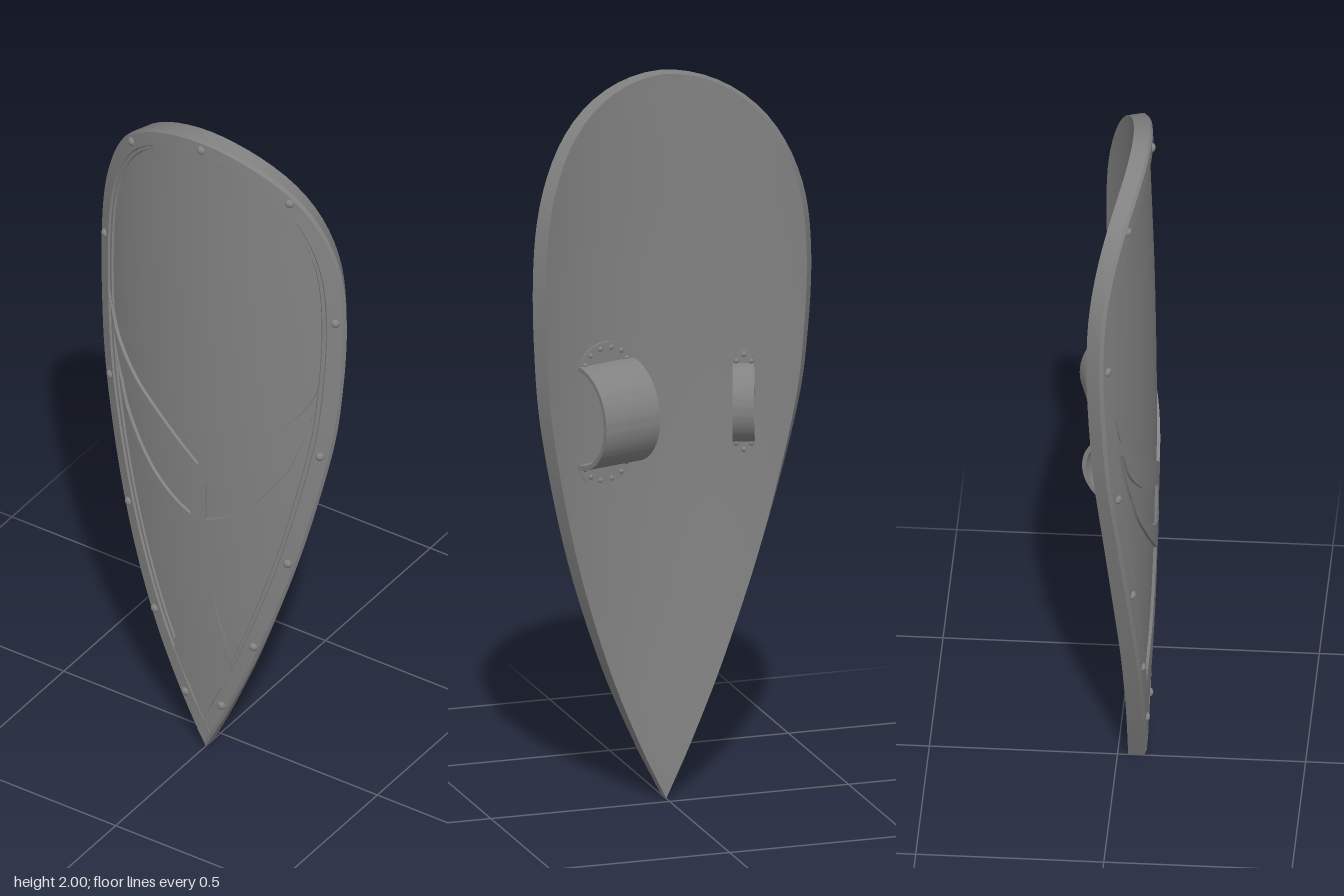
import * as THREE from 'three';
import { toCreasedNormals } from 'three/addons/utils/BufferGeometryUtils.js';

const material = new THREE.MeshStandardMaterial({ color: 0x828282, side: THREE.DoubleSide });
const V2 = (p) => new THREE.Vector2(p[0], p[1]);
const R = 0.69, THICK = 0.045;

// Front depth along the centre line, then the sideways bend of the shield
const depthCurve = new THREE.SplineCurve([[0, 0.073], [0.5, 0.096], [1, 0.107], [1.5, 0.102], [2, 0.087]].map(V2));
const tilt = (x) => Math.asin(x / R);
function onShield(x, y, w) {
  const a = tilt(x), zc = depthCurve.getPoint(THREE.MathUtils.clamp(y / 2, 0, 1)).y;
  return new THREE.Vector3(x + w * Math.sin(a), y, zc - R + (R + w) * Math.cos(a));
}

function mesh(name, geometry) {
  const m = new THREE.Mesh(geometry, material);
  m.name = name;
  return m;
}

// Skin over rows of points
function skin(rows) {
  const pos = [], index = [], n = rows[0].length;
  rows.forEach((row) => row.forEach((p) => pos.push(p.x, p.y, p.z)));
  for (let i = 0; i < rows.length - 1; i++) {
    for (let j = 0; j < n - 1; j++) {
      const a = i * n + j, b = a + n;
      index.push(a, b, a + 1, b, b + 1, a + 1);
    }
  }
  const g = new THREE.BufferGeometry();
  g.setAttribute('position', new THREE.Float32BufferAttribute(pos, 3));
  g.setIndex(index);
  return toCreasedNormals(g, 0.5);
}

// Kite outline, clockwise from the bottom tip
function outline() {
  const half = [[0, 0], [0.08, 0.16], [0.177, 0.39], [0.278, 0.7], [0.358, 1.05], [0.384, 1.28],
    [0.39, 1.5], [0.372, 1.67], [0.32, 1.81], [0.24, 1.91], [0.13, 1.975]];
  const left = half.map(([x, y]) => [-x, y]);
  const pts = [...left, [0, 2], ...half.reverse()].map(V2);
  return new THREE.SplineCurve(pts).getSpacedPoints(112);
}

// Moves the outline inward by d with mitred corners
function inset(loop, d) {
  const n = loop.length;
  return loop.map((p, i) => {
    const t1 = p.clone().sub(loop[(i + n - 1) % n]).normalize();
    const t2 = loop[(i + 1) % n].clone().sub(p).normalize();
    const n1 = new THREE.Vector2(t1.y, -t1.x), n2 = new THREE.Vector2(t2.y, -t2.x);
    const m = n1.clone().add(n2).normalize();
    return p.clone().addScaledVector(m, d / Math.max(0.3, m.dot(n1)));
  });
}

// Raised strip between two flat curves
function strip(name, a, b, height, mirror) {
  const ca = new THREE.SplineCurve(a.map(V2)).getPoints(24);
  const cb = new THREE.SplineCurve(b.map(V2)).getPoints(24);
  const rows = ca.map((p, i) => {
    const q = cb[i], row = [onShield(p.x * mirror, p.y, -0.005)];
    for (let k = 0; k <= 6; k++) {
      const c = p.clone().lerp(q, k / 6);
      row.push(onShield(c.x * mirror, c.y, height));
    }
    row.push(onShield(q.x * mirror, q.y, -0.005));
    return mirror > 0 ? row.reverse() : row;
  });
  return mesh(name, skin(rows));
}

function rivet(x, y, z, r) {
  const m = mesh('rivet', new THREE.SphereGeometry(r, 12, 8));
  m.position.set(x, y, z);
  m.scale.z = 0.8;
  return m;
}

// Arched strap with riveted half-round end plates on the back
function strap(name, x, y, width, halfHeight, depth, thick, plate, rivets) {
  const group = new THREE.Group();
  group.name = name;
  group.position.copy(onShield(x, y, -THICK));
  group.rotation.y = tilt(x);

  const s = new THREE.Shape();
  s.moveTo(-0.012, -halfHeight);
  s.absellipse(0, 0, depth, halfHeight, -Math.PI / 2, Math.PI / 2, false);
  s.lineTo(-0.012, halfHeight);
  s.lineTo(-0.012, halfHeight - thick);
  s.absellipse(0, 0, depth - thick, halfHeight - thick, Math.PI / 2, -Math.PI / 2, true);
  s.lineTo(-0.012, thick - halfHeight);
  const arch = new THREE.ExtrudeGeometry(s, { depth: width, bevelEnabled: false, curveSegments: 24 });
  arch.translate(0, 0, -width / 2).rotateY(Math.PI / 2);
  group.add(mesh('strapArch', toCreasedNormals(arch, 0.5)));

  for (const side of [-1, 1]) {
    const disc = new THREE.Shape();
    const base = halfHeight - thick;
    disc.absellipse(0, 0, width / 2, plate, 0, Math.PI, false);
    const g = new THREE.ExtrudeGeometry(disc, { depth: 0.016, bevelEnabled: false, curveSegments: 20 });
    g.translate(0, 0, -0.008);
    const p = mesh('strapPlate', g);
    p.position.y = side * base;
    if (side < 0) p.rotation.z = Math.PI;
    group.add(p);
    for (let i = 0; i < rivets; i++) {
      const a = Math.PI * (i + 0.5) / rivets;
      group.add(rivet(Math.cos(a) * width * 0.4, side * (base + Math.sin(a) * plate * 0.78), -0.008, 0.007));
    }
  }
  return group;
}

export function createModel() {
  const model = new THREE.Group();
  model.name = 'shield';
  const edge = outline();
  const loop = edge.slice(0, -1);

  // Front and back panels
  const half = edge.slice(56);
  const panel = (w, dir) => skin(half.map((p) => Array.from({ length: 29 },
    (_, j) => onShield(dir * Math.max(p.x, 0) * (j / 14 - 1), p.y, w))));
  model.add(mesh('frontPanel', panel(-0.004, 1)), mesh('backPanel', panel(-THICK, -1)));

  // Outer wall and raised rim with a stepped inner edge
  const profile = [[0, -THICK], [0, -0.002], [0.008, 0.005], [0.044, 0.006], [0.047, 0.001], [0.055, 0.001], [0.058, -0.006]];
  model.add(mesh('rim', skin(profile.map(([d, w]) => {
    const ring = inset(loop, d).map((p) => onShield(p.x, p.y, w));
    return [...ring, ring[0]];
  }))));

  // Branching ornament: two pairs of arms and a flaring stem
  for (const m of [1, -1]) {
    model.add(strip('upperArm',
      [[0.338, 1.32], [0.305, 1.22], [0.23, 1.13], [0.11, 1.04], [0, 0.95]],
      [[0.305, 1.18], [0.265, 1.08], [0.18, 0.99], [0.08, 0.93], [0, 0.88]], 0.005, m));
    model.add(strip('lowerArm',
      [[0.315, 1.19], [0.27, 1.03], [0.18, 0.89], [0.09, 0.81], [0, 0.765]],
      [[0.3, 1.13], [0.235, 0.945], [0.155, 0.825], [0.08, 0.745], [0, 0.67]], 0.005, m));
  }
  const stem = [[0.026, 0.93], [0.024, 0.8], [0.025, 0.68], [0.045, 0.5], [0.09, 0.3], [0.045, 0.2], [0.003, 0.1]];
  model.add(strip('stem', stem.map(([x, y]) => [-x, y]), stem, 0.0045, -1));

  // Rim rivets
  const spots = [[0, 1.97], [0.25, 1.87], [0.365, 1.495], [0.332, 1.06], [0.252, 0.695], [0.156, 0.395], [0.057, 0.165]];
  for (const [x, y] of spots) {
    for (const m of x ? [1, -1] : [1]) {
      const p = onShield(x * m, y, 0.004);
      const r = rivet(p.x, p.y, p.z, 0.013);
      r.rotation.y = tilt(x * m);
      model.add(r);
    }
  }

  // Arm strap and hand grip; their arches point backwards
  model.add(strap('armStrap', 0.181, 1.08, 0.172, 0.142, 0.138, 0.012, 0.068, 6));
  model.add(strap('handGrip', -0.231, 1.08, 0.058, 0.108, 0.1, 0.012, 0.045, 3));
  return model;
}
